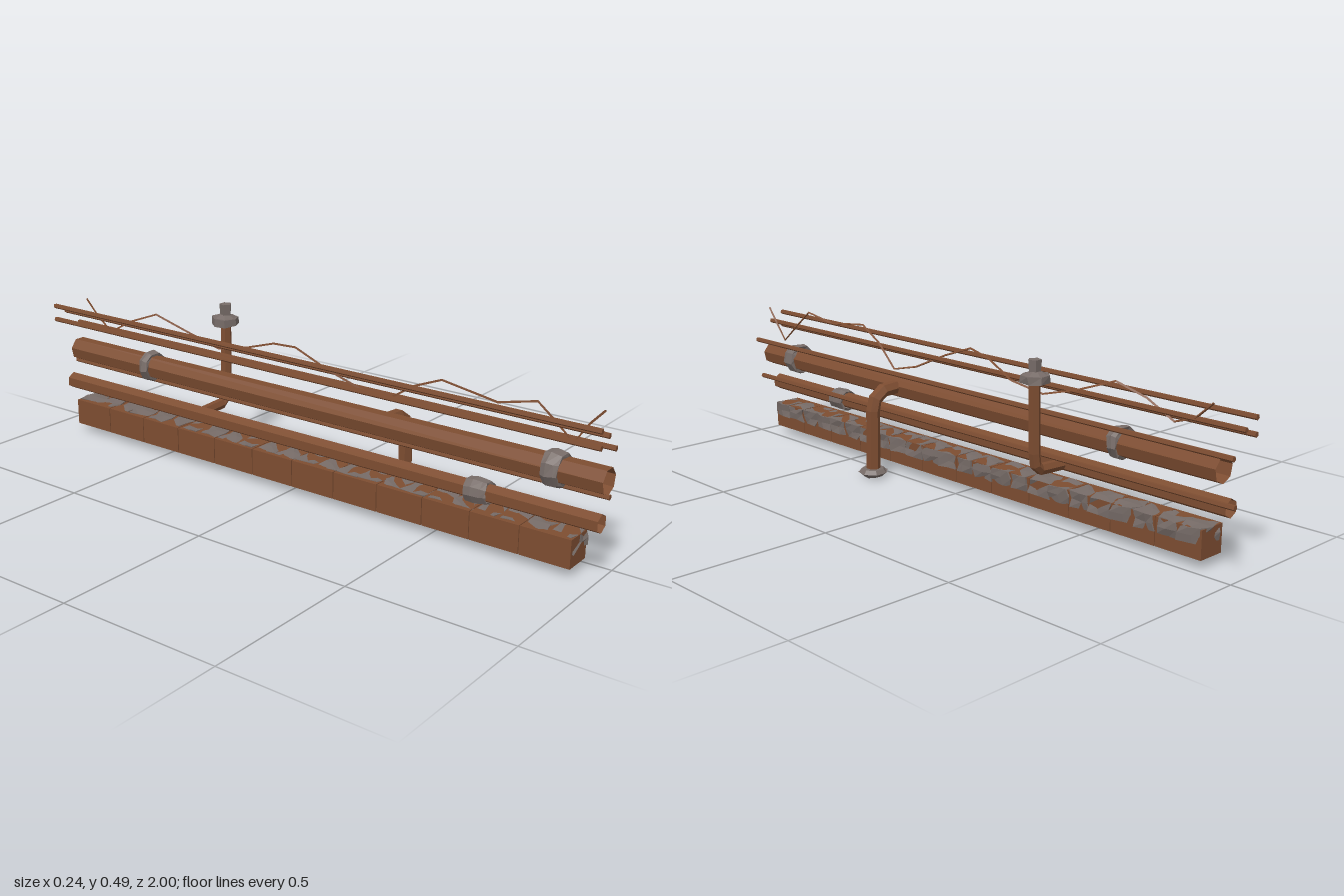
import * as THREE from 'three';

// Path made of straight runs, with one tube ring on every corner
class Polyline extends THREE.Curve {
  constructor(points) { super(); this.points = points.map(p => new THREE.Vector3(...p)); }
  getPoint(t, target = new THREE.Vector3()) {
    const n = this.points.length - 1;
    const i = Math.min(Math.floor(t * n + 1e-9), n - 1);
    return target.lerpVectors(this.points[i], this.points[i + 1], t * n - i);
  }
  getPointAt(t, target) { return this.getPoint(t, target); }
  getTangentAt(t, target) { return this.getTangent(t, target); }
}

// Faceted normals
function flat(geometry) {
  const g = geometry.index ? geometry.toNonIndexed() : geometry;
  g.computeVertexNormals();
  return g;
}

// Moves each corner by a repeatable amount, keeping shared corners together
function roughen(g, amount, seed) {
  const p = g.attributes.position;
  const hash = (x, y, z, k) => {
    const s = Math.sin(Math.round(x * 1e4) * 12.9898 + Math.round(y * 1e4) * 78.233 +
      Math.round(z * 1e4) * 37.719 + seed * 17.31 + k * 5.17) * 43758.5453;
    return (s - Math.floor(s)) * 2 - 1;
  };
  for (let i = 0; i < p.count; i++) {
    const x = p.getX(i), y = p.getY(i), z = p.getZ(i);
    p.setXYZ(i, x + hash(x, y, z, 1) * amount[0], y + hash(x, y, z, 2) * amount[1],
      z + hash(x, y, z, 3) * amount[2]);
  }
  return g;
}

export function createModel() {
  const model = new THREE.Group();
  const rust = new THREE.MeshStandardMaterial({ color: 0x7d4d31, side: THREE.DoubleSide });
  rust.name = 'rustBrown';
  const stone = new THREE.MeshStandardMaterial({ color: 0x776c68 });
  stone.name = 'stoneGrey';

  function add(name, geometry, material, x = 0, y = 0, z = 0) {
    const mesh = new THREE.Mesh(flat(geometry), material);
    mesh.name = name;
    mesh.position.set(x, y, z);
    model.add(mesh);
    return mesh;
  }

  // Beam of twelve blocks with narrow seams, capped by rough stones
  const count = 12, front = 0.935, step = 1.825 / count;
  for (let i = 0; i < count; i++) {
    const z = front - (i + 0.5) * step;
    add('beamBlock', new THREE.BoxGeometry(0.088, 0.083, step - 0.003), rust, -0.069, 0.0685, z);
    for (const side of [-1, 1]) {
      const g = new THREE.BoxGeometry(0.078, 0.044, step * 0.46, 2, 2, 2);
      roughen(g, [0.005, 0.003, 0.009], i * 2 + side);
      add('edgeStone', g, stone, -0.061, 0.0885, z + side * step * 0.245);
    }
  }
  add('beamCore', new THREE.BoxGeometry(0.08, 0.076, 1.81), rust, -0.069, 0.0685, 0.022);

  // Open pipes
  function pipe(name, r, x, y, z0, z1, sides) {
    const g = new THREE.CylinderGeometry(r, r, z0 - z1, sides, 1, true);
    g.rotateX(Math.PI / 2);
    add(name, g, rust, x, y, (z0 + z1) / 2);
  }
  pipe('upperPipe', 0.038, -0.061, 0.272, 1, -0.92, 7);
  pipe('lowerPipe', 0.027, -0.087, 0.165, 1, -0.93, 6);

  // Rough collars around the pipes
  function collar(inner, outer, length, x, y, z, seed) {
    const h = length / 2;
    const profile = [[inner, -h], [outer * 0.93, -h], [outer, -h * 0.3], [outer * 0.96, h * 0.5],
      [outer * 0.9, h], [inner, h], [inner, -h]].map(p => new THREE.Vector2(...p));
    const g = new THREE.LatheGeometry(profile, 9);
    g.rotateX(Math.PI / 2);
    roughen(g, [0.002, 0.002, 0.004], seed);
    add('pipeCollar', g, stone, x, y, z);
  }
  collar(0.037, 0.052, 0.046, -0.064, 0.273, 0.853, 1);
  collar(0.037, 0.05, 0.03, -0.063, 0.274, -0.583, 2);
  collar(0.027, 0.037, 0.065, -0.085, 0.164, 0.643, 3);

  // Thin rods: x, y, front z, back z
  const rods = [
    [-0.1, 0.415, 0.99, -0.985], [-0.1, 0.37, 0.99, -0.985], [-0.054, 0.39, 0.99, -0.985],
    [0.015, 0.333, 0.98, -1], [-0.002, 0.203, 0.98, -1],
  ];
  for (const [x, y, z0, z1] of rods) {
    const g = new THREE.CylinderGeometry(0.008, 0.008, z0 - z1, 5);
    g.rotateX(Math.PI / 2);
    add('thinRod', g, rust, x, y, (z0 + z1) / 2);
  }

  // Loose wire weaving along the rods
  const wire = new Polyline([
    [-0.025, 0.443, 0.96], [-0.022, 0.4, 0.92], [-0.028, 0.34, 0.88], [-0.05, 0.4, 0.83],
    [-0.064, 0.443, 0.79], [-0.075, 0.42, 0.68], [-0.062, 0.442, 0.5], [-0.045, 0.4, 0.4],
    [-0.022, 0.335, 0.3], [-0.04, 0.352, 0.22], [-0.07, 0.4, 0.12], [-0.063, 0.442, 0],
    [-0.04, 0.43, -0.1], [-0.012, 0.39, -0.22], [-0.025, 0.368, -0.33], [-0.03, 0.4, -0.45],
    [-0.05, 0.443, -0.57], [-0.07, 0.41, -0.66], [-0.074, 0.362, -0.75], [-0.05, 0.39, -0.83],
    [-0.045, 0.443, -0.89],
  ]);
  add('looseWire', new THREE.TubeGeometry(wire, 20, 0.0035, 3), rust);

  // Bent supports
  function support(name, points, radius, z) {
    const path = new Polyline(points.map(([x, y]) => [x, y, 0]));
    add(name, new THREE.TubeGeometry(path, points.length - 1, radius, 6), rust, 0, 0, z);
  }
  support('floorSupport', [[-0.03, 0.276], [0.022, 0.273], [0.055, 0.25], [0.064, 0.215],
    [0.066, 0.02]], 0.022, 0.305);
  support('ceilingSupport', [[-0.065, 0.164], [0.026, 0.168], [0.044, 0.184], [0.05, 0.22],
    [0.055, 0.43]], 0.017, -0.37);

  // Stone foot and top plate with its peg
  add('supportFoot', roughen(new THREE.CylinderGeometry(0.047, 0.026, 0.016, 7), [0.003, 0.002, 0.003], 4),
    stone, 0.068, 0.01, 0.305);
  add('supportFootTop', new THREE.CylinderGeometry(0.036, 0.046, 0.012, 7), stone, 0.068, 0.023, 0.305);
  add('topPlate', roughen(new THREE.CylinderGeometry(0.042, 0.042, 0.024, 7), [0.003, 0.002, 0.003], 6),
    stone, 0.055, 0.434, -0.375);
  add('topPlateShoulder', new THREE.CylinderGeometry(0.016, 0.036, 0.01, 7), stone, 0.056, 0.45, -0.375);
  add('topPeg', new THREE.CylinderGeometry(0.02, 0.017, 0.04, 5), stone, 0.057, 0.468, -0.372);

  return model;
}
